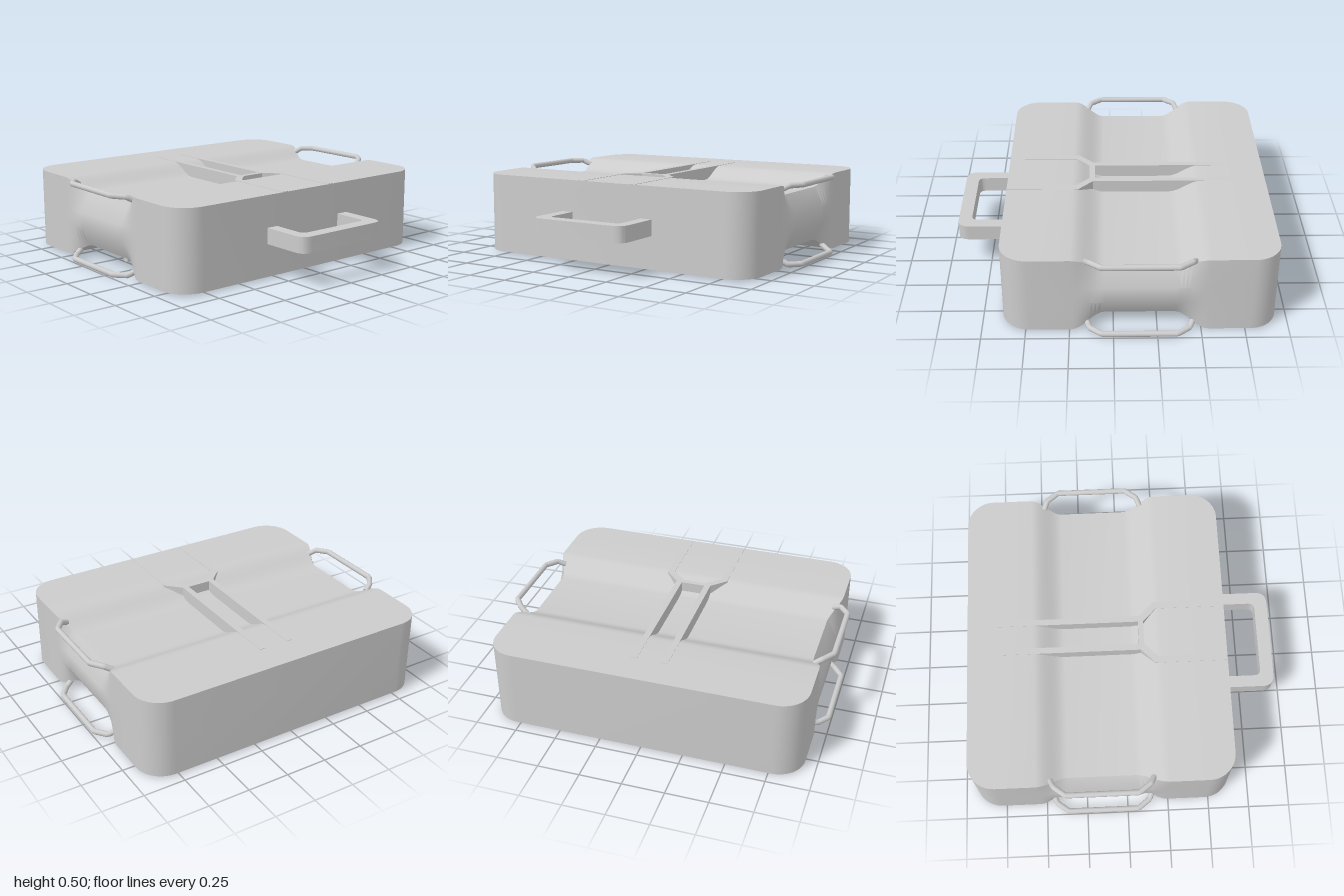
import * as THREE from 'three';
import { toCreasedNormals } from 'three/addons/utils/BufferGeometryUtils.js';

const material = new THREE.MeshStandardMaterial({ color: 0xcccccc, side: THREE.DoubleSide });
const MID_Y = 0.25, MID_Z = -0.15, HALF_X = 0.93, HALF_Z = 0.787, HALF_Y = 0.24;
const CORNER = 0.16, TROUGH = 0.075;

function add(parent, name, geometry) {
  const mesh = new THREE.Mesh(geometry, material);
  mesh.name = name;
  parent.add(mesh);
  return mesh;
}

// 0 on the flat ends, 1 on the trough floor
function dip(dz) {
  const u = THREE.MathUtils.clamp((0.39 - Math.abs(dz)) / 0.19, 0, 1);
  return u * u * (3 - 2 * u);
}

// Half width of the rounded plan outline
function halfWidth(dz) {
  const c = Math.max(0, Math.abs(dz) - (HALF_Z - CORNER));
  return HALF_X - CORNER + Math.sqrt(Math.max(0, CORNER * CORNER - c * c));
}

// Body: cross-sections lofted from back to front, with troughs and side recesses
function bodyGeometry() {
  const half = [];
  for (let i = 0; i <= 10; i++) half.push(HALF_Z - CORNER + CORNER * Math.cos((i / 10) * Math.PI / 2));
  for (let i = 0; i <= 8; i++) half.push(0.39 - 0.19 * i / 8);
  const rows = [...half.map(d => -d), ...half.slice().reverse()];
  const rings = rows.map(dz => {
    const d = dip(dz), w = halfWidth(dz), wi = w - 0.065 * d, h = HALF_Y - TROUGH * d;
    return [[-wi, h], [wi, h], [w, 0.05], [w, -0.05], [wi, -h], [-wi, -h], [-w, -0.05], [-w, 0.05]]
      .map(([x, y]) => [x, MID_Y + y, MID_Z + dz]);
  });
  const pos = [];
  const tri = (a, b, c) => pos.push(...a, ...b, ...c);
  for (let r = 0; r < rings.length - 1; r++) {
    const a = rings[r], b = rings[r + 1];
    for (let i = 0; i < 8; i++) {
      const j = (i + 1) % 8;
      tri(a[i], b[i], b[j]);
      tri(a[i], b[j], a[j]);
    }
  }
  const back = rings[0], front = rings[rings.length - 1];
  for (let i = 1; i < 7; i++) {
    tri(back[0], back[i], back[i + 1]);
    tri(front[0], front[i + 1], front[i]);
  }
  const g = new THREE.BufferGeometry();
  g.setAttribute('position', new THREE.Float32BufferAttribute(pos, 3));
  return toCreasedNormals(g, 0.6);
}

// Upright slab from a plan outline given as [x, z]
function slab(points, y0, y1) {
  const shape = new THREE.Shape(points.map(([x, z]) => new THREE.Vector2(x, -z)));
  return new THREE.ExtrudeGeometry(shape, { depth: y1 - y0, bevelEnabled: false })
    .rotateX(-Math.PI / 2).translate(0, y0, 0);
}

function box(x0, x1, y0, y1, z0, z1) {
  return new THREE.BoxGeometry(x1 - x0, y1 - y0, z1 - z0)
    .translate((x0 + x1) / 2, (y0 + y1) / 2, (z0 + z1) / 2);
}

// Carry loop on one side, one level
function loopGeometry(side, level) {
  const half = [[0.885, 0.205, 0.305], [0.93, 0.23, 0.285], [0.983, 0.232, 0.215]];
  const pts = [...half, ...half.slice().reverse().map(([x, y, z]) => [x, y, -z])]
    .map(([x, y, z]) => new THREE.Vector3(side * x, MID_Y + level * y, MID_Z + z));
  const path = new THREE.CurvePath();
  for (let i = 0; i < pts.length - 1; i++) path.add(new THREE.LineCurve3(pts[i], pts[i + 1]));
  return new THREE.TubeGeometry(path, 48, 0.017, 10, false);
}

// Flat U-shaped pull on the front face
function pullGeometry() {
  const s = new THREE.Shape();
  const z0 = -0.62, z1 = -0.935, zi = -0.855;
  s.moveTo(-0.312, z0);
  s.lineTo(-0.312, z1 + 0.07);
  s.quadraticCurveTo(-0.312, z1, -0.242, z1);
  s.lineTo(0.242, z1);
  s.quadraticCurveTo(0.312, z1, 0.312, z1 + 0.07);
  s.lineTo(0.312, z0);
  s.lineTo(0.24, z0);
  s.lineTo(0.24, zi + 0.04);
  s.quadraticCurveTo(0.24, zi, 0.2, zi);
  s.lineTo(-0.2, zi);
  s.quadraticCurveTo(-0.24, zi, -0.24, zi + 0.04);
  s.lineTo(-0.24, z0);
  s.closePath();
  const g = new THREE.ExtrudeGeometry(s, { depth: 0.095, bevelEnabled: false, curveSegments: 10 });
  return toCreasedNormals(g.rotateX(-Math.PI / 2).translate(0, 0.205, 0), 0.6);
}

export function createModel() {
  const model = new THREE.Group();
  model.name = 'case';
  add(model, 'body', bodyGeometry());
  add(model, 'frontHandle', pullGeometry());

  // Side loops, top and bottom
  for (const side of [1, -1]) {
    for (const level of [1, -1]) {
      add(model, (side > 0 ? 'left' : 'right') + (level > 0 ? 'Upper' : 'Lower') + 'Loop',
        loopGeometry(side, level));
    }
  }

  // Forked rails bridging the top trough
  const topRails = new THREE.Group();
  topRails.name = 'topRails';
  const fork = [[0.197, 0.634], [0.197, 0.2], [0.11, 0.115], [0.11, -0.75],
    [0.073, -0.75], [0.073, 0.137], [0.155, 0.217], [0.155, 0.634]];
  for (const side of [1, -1]) {
    add(topRails, 'topRail', slab(fork.map(([x, z]) => [side * x, z]), 0.4, 0.492));
  }
  add(topRails, 'topCrossbar', box(-0.08, 0.08, 0.4, 0.492, 0.105, 0.137));
  model.add(topRails);

  // Rails in the bottom trough
  const bottomRails = new THREE.Group();
  bottomRails.name = 'bottomRails';
  add(bottomRails, 'bottomLongRail', box(-0.76, 0.76, 0.009, 0.1, MID_Z - 0.02, MID_Z + 0.02));
  for (const x of [-0.47, 0.47]) {
    add(bottomRails, 'bottomCrossRail', box(x - 0.02, x + 0.02, 0.008, 0.1, MID_Z - 0.39, MID_Z + 0.39));
  }
  model.add(bottomRails);
  return model;
}
